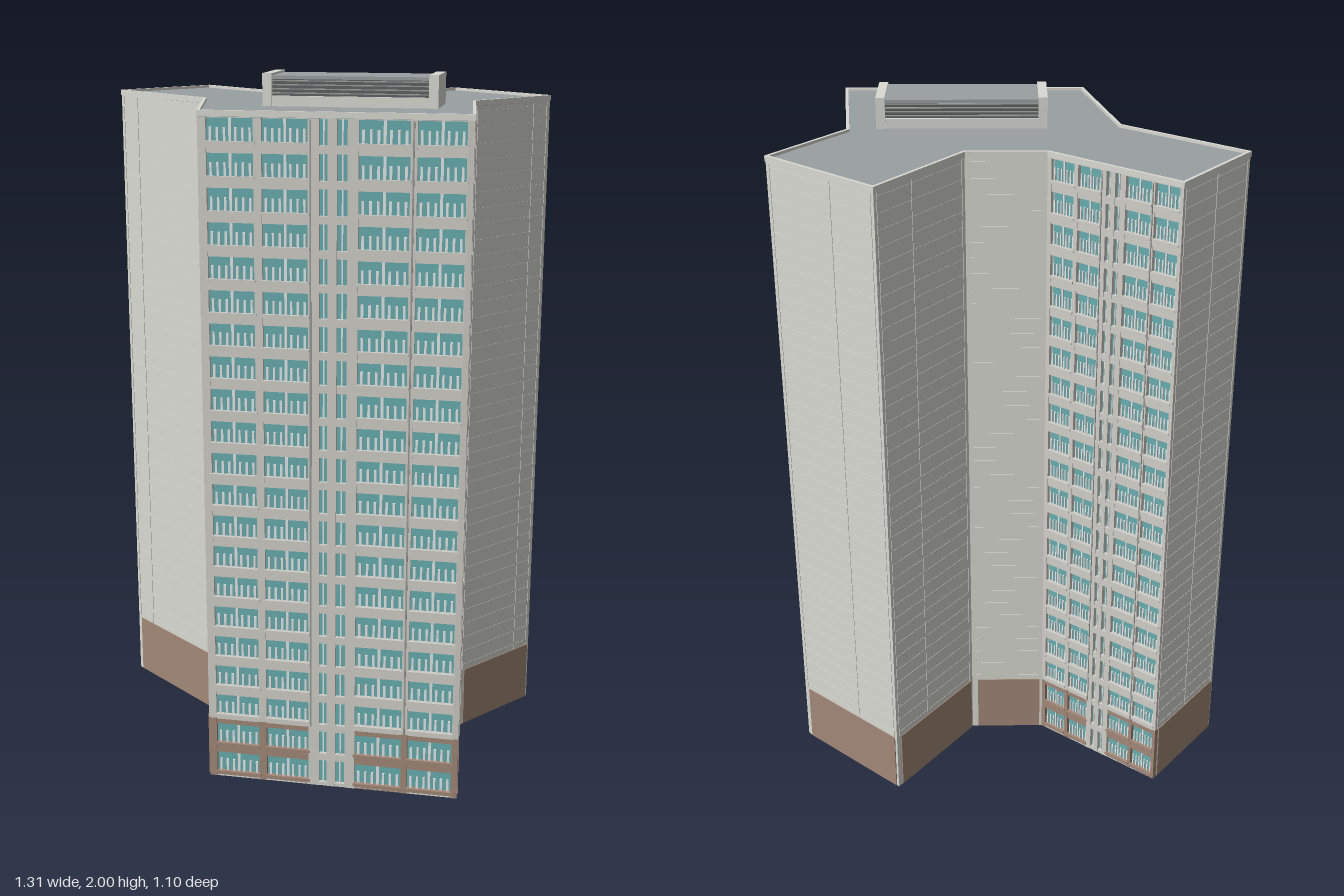
import * as THREE from 'three';
import { mergeGeometries } from 'three/addons/utils/BufferGeometryUtils.js';

const FLOORS = 21, ROOF = 1.912, STEP = 0.0912, BASE = 0.185, RECESS = 0.016;

// Y-shaped footprint as [x, z], anticlockwise from above; facade edges carry windows
const PLAN = [
  [-0.025, 0.545], [0.65, 0.288], [0.455, -0.11], [0.55, -0.41], [0.172, -0.548],
  [0.068, -0.193], [-0.14, -0.113], [-0.55, -0.243], [-0.65, 0.075], [-0.25, 0.2],
];
const WINDOWED = [0, 1, 6];
// Position of the vertical panel joint on each plain wall, as a fraction of its length
const JOINT = { 2: 0.78, 3: 0.6, 4: 0.4, 7: 0.5, 8: 0.2 };

const paint = (name, color) => {
  const m = new THREE.MeshStandardMaterial({ color });
  m.name = name;
  return m;
};

// Moves every edge of the footprint outward by its own distance
function offsetPlan(dist) {
  const n = PLAN.length;
  const lines = PLAN.map((p, i) => {
    const q = PLAN[(i + 1) % n];
    const dx = q[0] - p[0], dz = q[1] - p[1], l = Math.hypot(dx, dz);
    const nx = -dz / l, nz = dx / l;
    return [nx, nz, nx * p[0] + nz * p[1] + dist(i)];
  });
  return lines.map((b, i) => {
    const a = lines[(i + n - 1) % n], det = a[0] * b[1] - a[1] * b[0];
    return new THREE.Vector2((a[2] * b[1] - a[1] * b[2]) / det, -(a[0] * b[2] - a[2] * b[0]) / det);
  });
}

function prism(points, y0, y1, hole) {
  const shape = new THREE.Shape(points);
  if (hole) shape.holes.push(new THREE.Path(hole));
  const g = new THREE.ExtrudeGeometry(shape, { depth: y1 - y0, bevelEnabled: false });
  return g.rotateX(-Math.PI / 2).translate(0, y0, 0);
}

const box = (x0, x1, y0, y1, z0, z1) =>
  new THREE.BoxGeometry(x1 - x0, y1 - y0, z1 - z0).translate((x0 + x1) / 2, (y0 + y1) / 2, (z0 + z1) / 2);

export function createModel() {
  const model = new THREE.Group();
  model.name = 'towerBlock';
  const wall = paint('wall concrete', 0xdadad4);
  const frame = paint('facade concrete', 0xd0cec8);
  const brown = paint('brown base', 0xa28878);
  const glass = paint('teal glass', 0x68adb0);
  const rail = paint('pale railing', 0xe6ecec);
  const roof = paint('roof grey', 0x9aa0a1);
  const seam = paint('seam grey', 0x9a9a96);
  const dark = paint('dark metal', 0x5c6062);

  const add = (parent, name, geometry, material) => {
    const mesh = new THREE.Mesh(geometry, material);
    mesh.name = name;
    parent.add(mesh);
  };
  const addAll = (parent, name, list, material) => add(parent, name, mergeGeometries(list), material);

  // Core, roof, underside and parapet
  const core = offsetPlan(i => (WINDOWED.includes(i) ? -RECESS : 0));
  add(model, 'core', prism(core, 0.004, 1.905), wall);
  add(model, 'floorSlab', prism(offsetPlan(() => -0.001), 0, 0.004), wall);
  add(model, 'roofSlab', prism(offsetPlan(() => 0), 1.903, ROOF), roof);
  add(model, 'parapet', prism(offsetPlan(() => 0.002), 1.904, 1.92, offsetPlan(() => -0.007)), wall);

  // Openings across a facade, as fractions of its length
  const bays = [[0.03, 0.205], [0.235, 0.405], [0.59, 0.775], [0.8, 0.975]];
  const slots = [[0.447, 0.478], [0.512, 0.55]];
  const openings = [...bays, ...slots].sort((a, b) => a[0] - b[0]);

  function windowFacade(g, L) {
    const stone = [], bricks = [], rails = [], joints = [];
    add(g, 'windowGlass', box(0.02 * L, 0.98 * L, 0.01, 1.9, -RECESS, -RECESS + 0.004), glass);
    // Vertical piers between openings, brown at the base except in the centre
    let x = 0;
    for (const [a, b] of [...openings, [1, 1]]) {
      const central = x > 0.4 && a < 0.6;
      const low = central ? stone : bricks;
      low.push(box(x * L, a * L, 0, BASE, -RECESS, 0));
      stone.push(box(x * L, a * L, BASE, 1.905, -RECESS, 0));
      x = b;
    }
    for (const t of [0.415, 0.787]) joints.push(box((t - 0.003) * L, (t + 0.003) * L, BASE, 1.9, 0, 0.002));
    for (let f = 0; f < FLOORS; f++) {
      const y = f * STEP, list = f < 2 ? bricks : stone;
      const sill = y + 0.016, head = y + 0.077;
      for (const [a, b] of bays) {
        // Spandrels, balcony ledge, railing bars and central mullion
        list.push(box(a * L, b * L, y, sill, -RECESS, -0.001));
        list.push(box(a * L, b * L, head, Math.min(y + STEP, 1.905), -RECESS, -0.001));
        list.push(box((a - 0.006) * L, (b + 0.006) * L, y + 0.01, y + 0.017, -0.004, 0.003));
        const w = (b - a) * L, mid = sill + 0.036;
        for (const t of [0.08, 0.23, 0.38, 0.62, 0.77, 0.92]) {
          const c = a * L + t * w;
          rails.push(box(c - 0.026 * w, c + 0.026 * w, sill, mid, -0.011, -0.007));
        }
        const c = (a + b) / 2 * L;
        rails.push(box(c - 0.03 * w, c + 0.03 * w, sill, head, -0.011, -0.007));
      }
      for (const [a, b] of slots) {
        stone.push(box(a * L, b * L, y, y + 0.01, -RECESS, -0.001));
        stone.push(box(a * L, b * L, y + 0.08, Math.min(y + STEP, 1.905), -RECESS, -0.001));
        const c = (a + b) / 2 * L;
        rails.push(box(c - 0.003 * L, c + 0.003 * L, y + 0.01, y + 0.08, -0.011, -0.007));
      }
    }
    addAll(g, 'facadeFrame', stone, frame);
    addAll(g, 'baseFrame', bricks, brown);
    addAll(g, 'balconyRailings', rails, rail);
    addAll(g, 'facadeJoints', joints, seam);
  }

  function plainWall(g, L, joint) {
    // Raised panel joints at each floor, in the wall colour
    const ribs = [];
    for (let f = 2; f < FLOORS; f++) {
      for (const dy of [0.02, 0.066]) {
        const y = f * STEP + dy;
        ribs.push(box(0.012, L - 0.012, y, y + 0.0015, -0.001, 0.001));
      }
    }
    const uprights = [0.012, L - 0.012];
    if (joint) uprights.push(joint * L);
    for (const x of uprights) ribs.push(box(x - 0.0015, x + 0.0015, BASE, 1.9, -0.001, 0.0015));
    addAll(g, 'panelJoints', ribs, wall);
    add(g, 'brownPlinth', box(0.018, L - 0.008, 0.003, BASE, -0.001, 0.003), brown);
  }

  // Local x runs along each side, local z points outward
  PLAN.forEach((p, i) => {
    const q = PLAN[(i + 1) % PLAN.length];
    const dx = q[0] - p[0], dz = q[1] - p[1], length = Math.hypot(dx, dz);
    const g = new THREE.Group();
    g.position.set(p[0], 0, p[1]);
    g.rotation.y = Math.atan2(-dz, dx);
    if (WINDOWED.includes(i)) {
      g.name = 'windowFacade';
      windowFacade(g, length);
    } else {
      g.name = 'plainWall';
      plainWall(g, length, JOINT[i]);
    }
    model.add(g);
  });

  // Rooftop plant room with louvred sides between two end walls
  const plant = new THREE.Group();
  plant.name = 'plantRoom';
  plant.position.set(0.195, 0, 0.11);
  plant.rotation.y = 0.361;
  const H = 0.241, W = 0.087, inner = H - 0.026;
  addAll(plant, 'endWalls', [box(-H, -inner, 1.91, 2, -W, W), box(inner, H, 1.91, 2, -W, W)], wall);
  add(plant, 'plantSill', box(-inner, inner, 1.91, 1.94, -W + 0.002, W - 0.002), wall);
  add(plant, 'plantCore', box(-inner, inner, 1.94, 1.985, -W + 0.01, W - 0.01), dark);
  add(plant, 'plantRoof', box(-inner, inner, 1.985, 1.994, -W + 0.002, W - 0.002), roof);
  const slats = [];
  for (let k = 0; k < 4; k++) {
    const y = 1.946 + k * 0.011;
    slats.push(box(-inner, inner, y, y + 0.003, -W + 0.004, W - 0.004));
  }
  addAll(plant, 'louvreSlats', slats, seam);
  model.add(plant);
  return model;
}
